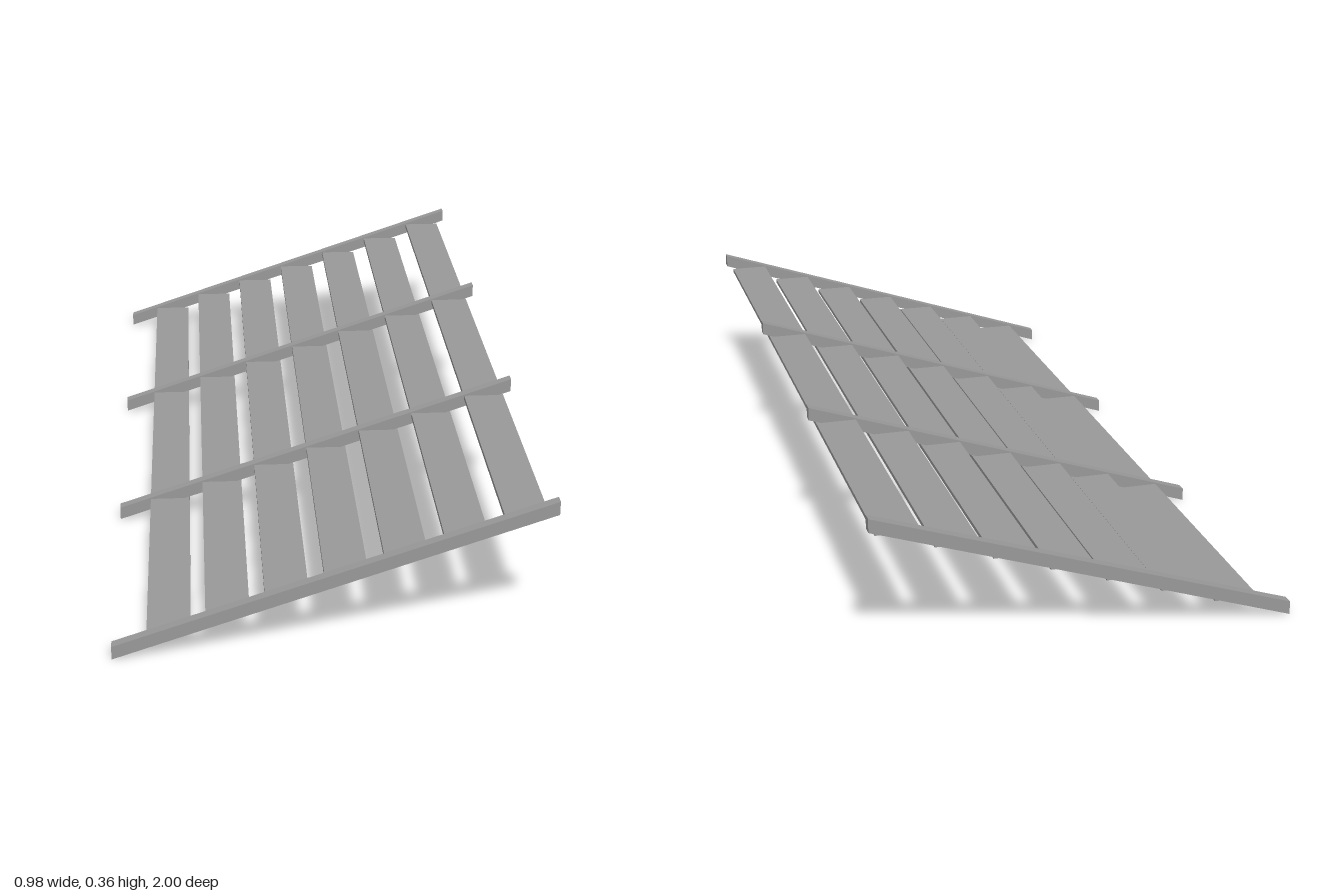
import * as THREE from 'three';

export function createModel() {
  const group = new THREE.Group();
  const grey = new THREE.MeshStandardMaterial({ color: 0x999999 });
  grey.name = 'grey';

  // Sloping stringers with plumb-cut ends
  const halfRun = 0.491, rise = 0.329, depth = 0.033, thickness = 0.024;
  const side = new THREE.Shape([
    new THREE.Vector2(-halfRun, 0.001),
    new THREE.Vector2(halfRun, rise + 0.001),
    new THREE.Vector2(halfRun, rise + depth),
    new THREE.Vector2(-halfRun, depth),
  ]);
  const stringerGeometry = new THREE.ExtrudeGeometry(side, { depth: thickness, bevelEnabled: false });
  stringerGeometry.translate(0, 0, -thickness / 2);
  const outerZ = 1 - thickness / 2;
  for (let i = 0; i < 4; i++) {
    const stringer = new THREE.Mesh(stringerGeometry, grey);
    stringer.name = `stringer${i + 1}`;
    stringer.position.z = outerZ * (1 - (2 * i) / 3);
    group.add(stringer);
  }

  // Level treads spanning between the outer stringers
  const treadGeometry = new THREE.BoxGeometry(0.098, 0.01, 2 - 2 * thickness);
  for (let i = 0; i < 7; i++) {
    const tread = new THREE.Mesh(treadGeometry, grey);
    tread.name = `tread${i + 1}`;
    tread.position.set(0.03 + (i - 3) * 0.1313, 0.183 + (i - 3) * 0.044, 0);
    group.add(tread);
  }
  return group;
}
